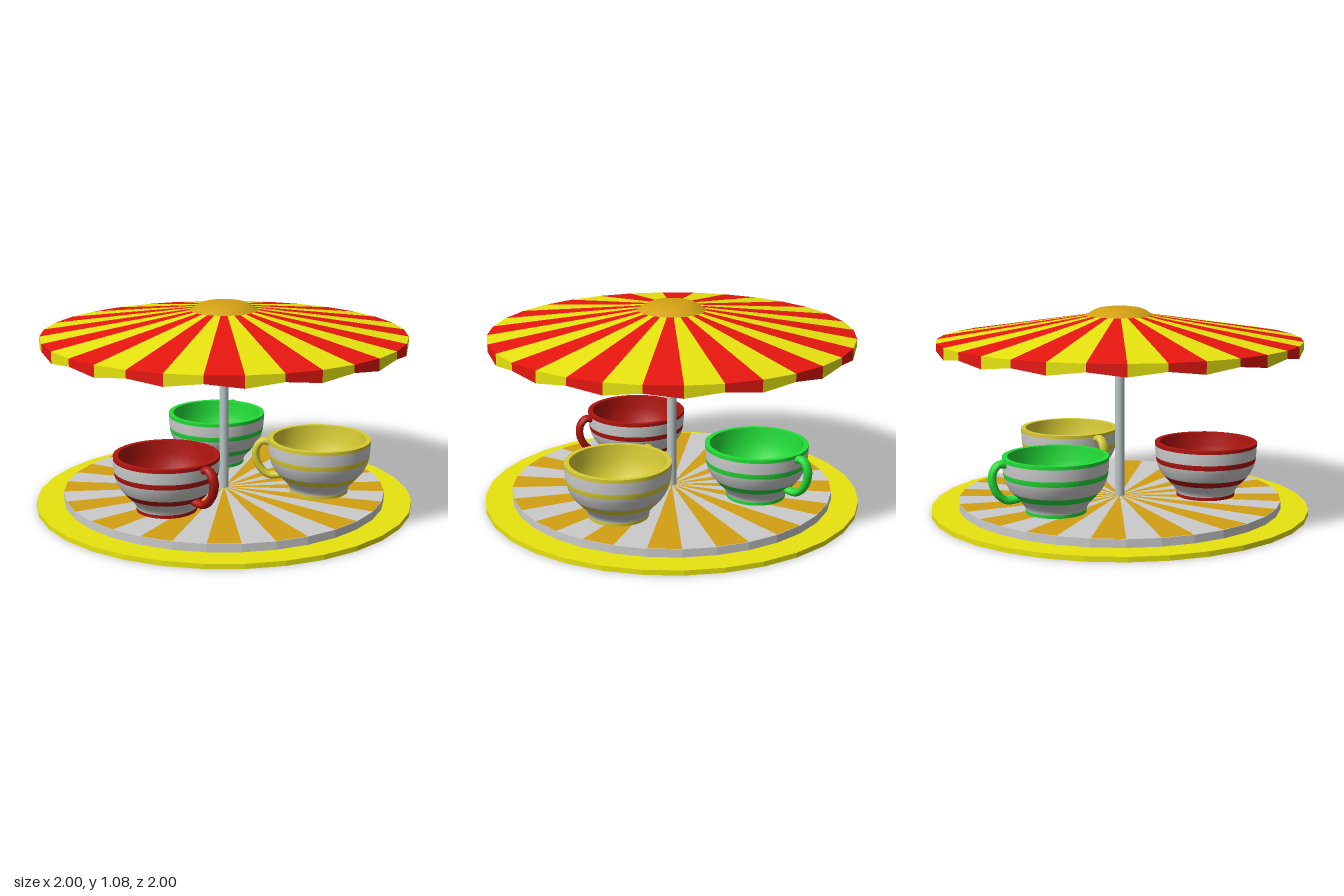
import * as THREE from 'three';

const SIDES = 32;
const YELLOW = 0xe8e40f, RED = 0xe8160f, GOLD = 0xd2a012, GREY = 0xcccccc;

const mat = (color, flat = false, side = THREE.FrontSide) =>
  new THREE.MeshStandardMaterial({ color, flatShading: flat, side });

function add(parent, name, geometry, material) {
  const mesh = new THREE.Mesh(geometry, material);
  mesh.name = name;
  parent.add(mesh);
  return mesh;
}

// Every second sector of a ring between two edges; an edge gives [radius, height] at corner i
function sectors(parity, inner, outer) {
  const pos = [];
  const point = (edge, i) => {
    const [r, y] = edge(i), a = (i / SIDES) * Math.PI * 2;
    return [r * Math.cos(a), y, r * Math.sin(a)];
  };
  for (let i = parity; i < SIDES; i += 2) {
    const a = point(inner, i), b = point(inner, i + 1);
    const c = point(outer, i), d = point(outer, i + 1);
    pos.push(...a, ...d, ...c);
    if (inner(i)[0] > 0) pos.push(...a, ...b, ...d);
  }
  const geo = new THREE.BufferGeometry();
  geo.setAttribute('position', new THREE.Float32BufferAttribute(pos, 3));
  geo.computeVertexNormals();
  return geo;
}

function striped(parent, name, colors, inner, outer) {
  colors.forEach((color, k) =>
    add(parent, name, sectors(k, inner, outer), mat(color, true, THREE.DoubleSide)));
}

// Outer cup wall as [height, radius]
const WALL = [[0, 0.155], [0.025, 0.157], [0.045, 0.168], [0.08, 0.2], [0.12, 0.235],
  [0.16, 0.256], [0.2, 0.266], [0.245, 0.27], [0.29, 0.271]];

function wallRadius(y) {
  const k = Math.max(1, WALL.findIndex(p => p[0] >= y));
  const [y0, r0] = WALL[k - 1], [y1, r1] = WALL[k];
  return r0 + (r1 - r0) * (y - y0) / (y1 - y0);
}

// Slice of the wall between two heights
function wallBand(y0, y1) {
  const heights = [y0, ...WALL.map(p => p[0]).filter(y => y > y0 && y < y1), y1];
  return new THREE.LatheGeometry(heights.map(y => new THREE.Vector2(wallRadius(y), y)), 40);
}

function makeCup(name, color, x, z, dirX, dirZ) {
  const cup = new THREE.Group();
  cup.name = name;
  const tint = mat(color), grey = mat(GREY);

  // Alternating stripes, starting with a coloured foot
  const cuts = [0, 0.018, 0.08, 0.112, 0.185, 0.212, 0.272, 0.29];
  for (let i = 0; i < cuts.length - 1; i++)
    add(cup, i % 2 ? 'cupWall' : 'cupStripe', wallBand(cuts[i], cuts[i + 1]), i % 2 ? grey : tint);

  // Rim and bowl inside
  add(cup, 'cupRim', new THREE.RingGeometry(0.245, 0.271, 40).rotateX(-Math.PI / 2), tint).position.y = 0.29;
  const bowl = [[0.245, 0.29], [0.24, 0.22], [0.225, 0.16], [0.195, 0.11], [0.15, 0.07], [0.08, 0.05], [0, 0.045]];
  add(cup, 'cupInside', new THREE.LatheGeometry(bowl.map(p => new THREE.Vector2(...p)), 40), tint);

  // Ear-shaped handle, wider than thick
  const path = new THREE.CatmullRomCurve3([[0.255, 0.262], [0.3, 0.268], [0.33, 0.235], [0.335, 0.18],
    [0.31, 0.12], [0.265, 0.083], [0.2, 0.085]].map(([r, y]) => new THREE.Vector3(r, y, 0)));
  add(cup, 'cupHandle', new THREE.TubeGeometry(path, 28, 0.02, 10).scale(1, 1, 1.35), tint);

  cup.position.set(x, 0.07, z);
  cup.rotation.y = Math.atan2(-dirZ, dirX);
  return cup;
}

export function createModel() {
  const model = new THREE.Group();
  model.name = 'teacupRide';

  // Base and turntable
  add(model, 'base', new THREE.CylinderGeometry(1, 1, 0.026, SIDES), mat(YELLOW, true)).position.y = 0.013;
  add(model, 'turntable', new THREE.CylinderGeometry(0.855, 0.855, 0.043, SIDES), mat(GREY, true)).position.y = 0.0465;
  striped(model, 'turntableStripes', [GOLD, GREY], () => [0, 0.07], () => [0.855, 0.07]);

  // Centre pole
  add(model, 'pole', new THREE.CylinderGeometry(0.025, 0.025, 0.9, 20), mat(0xb9c6c8)).position.y = 0.52;

  // Canopy: roof, ceiling and zigzag valance
  const canopy = new THREE.Group();
  canopy.name = 'canopy';
  model.add(canopy);
  const rim = () => [0.956, 0.912];
  striped(canopy, 'roof', [RED, YELLOW], () => [0.15, 1.04], rim);
  striped(canopy, 'ceiling', [RED, YELLOW], () => [0, 0.95], rim);
  striped(canopy, 'valance', [RED, YELLOW], rim, i => [0.956, i % 2 ? 0.872 : 0.85]);

  // Domed cap
  const dome = [[0.187, 1.03], [0.165, 1.043], [0.14, 1.06], [0.11, 1.072], [0.07, 1.078], [0, 1.08]];
  add(canopy, 'cap', new THREE.LatheGeometry(dome.map(p => new THREE.Vector2(...p)), SIDES),
    mat(GOLD, false, THREE.DoubleSide));

  // Three cups with their handle directions
  model.add(makeCup('redCup', 0xb0140e, -0.46, 0, -0.08, 1));
  model.add(makeCup('yellowCup', 0xd8cc35, 0.27, 0.43, -0.57, -0.82));
  model.add(makeCup('greenCup', 0x22dd38, 0.335, -0.33, 0.93, -0.36));
  return model;
}
